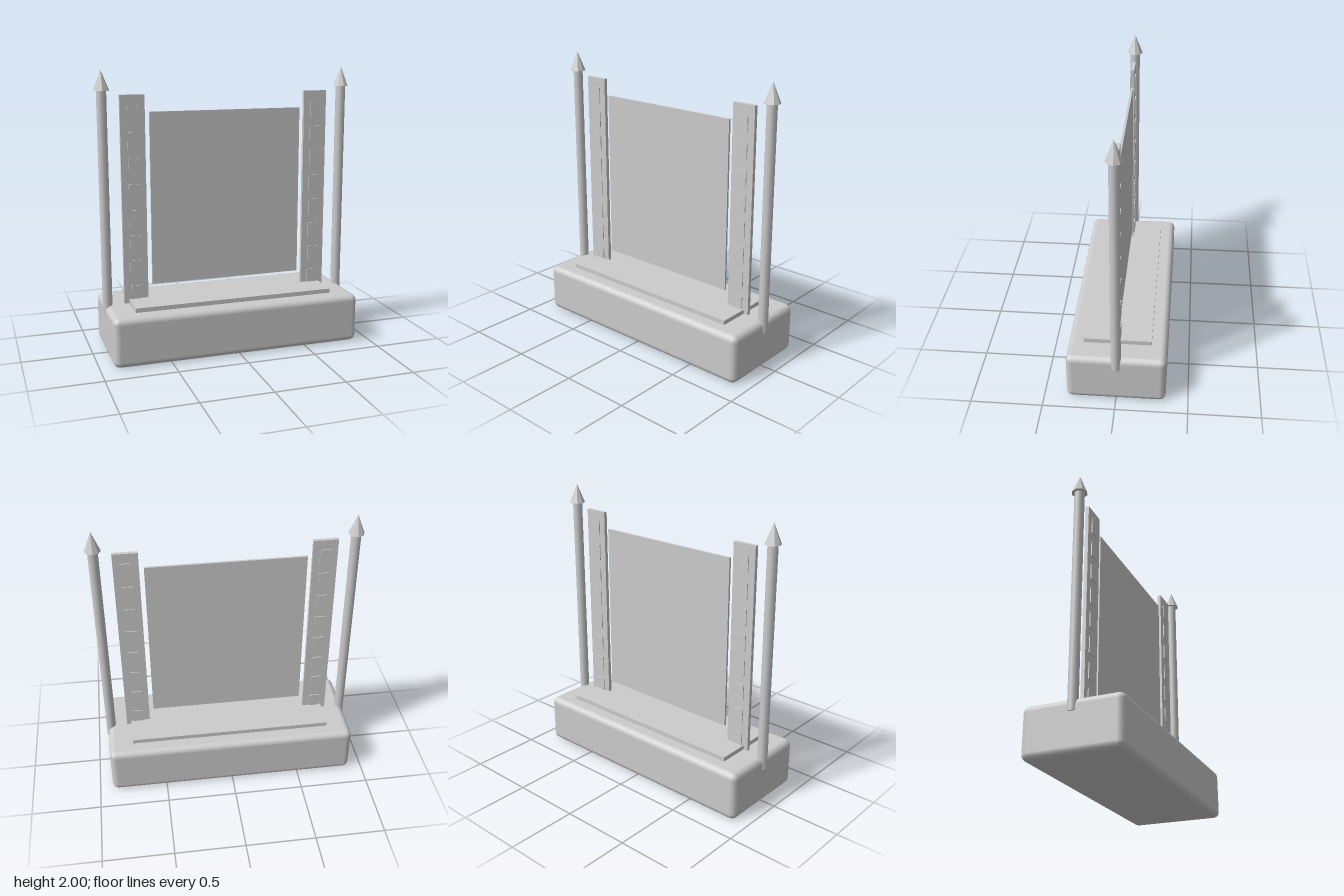
import * as THREE from 'three';
import { RoundedBoxGeometry } from 'three/addons/geometries/RoundedBoxGeometry.js';

export function createModel() {
  const model = new THREE.Group();
  model.name = 'signStand';

  const grey = new THREE.MeshStandardMaterial({ color: 0xcccccc });
  grey.name = 'plain grey';

  const add = (parent, name, geometry, x, y, z = 0) => {
    const mesh = new THREE.Mesh(geometry, grey);
    mesh.name = name;
    mesh.position.set(x, y, z);
    parent.add(mesh);
    return mesh;
  };

  // Heavy base with softened edges, and the thin plinth on top of it
  add(model, 'base', new RoundedBoxGeometry(1.81, 0.355, 0.69, 2, 0.045), 0, 0.1775);
  add(model, 'plinth', new THREE.BoxGeometry(1.46, 0.04, 0.47), 0, 0.366);

  // Large floating panel
  add(model, 'panel', new THREE.BoxGeometry(1.115, 1.23, 0.016), 0, 1.095);

  // Faceted spear tip, shared by both poles
  const tip = new THREE.ConeGeometry(0.056, 0.14, 8).toNonIndexed();
  tip.computeVertexNormals();

  for (const [side, s] of [['left', 1], ['right', -1]]) {
    // Upright banner with raised tiles showing on both faces
    const banner = new THREE.Group();
    banner.name = side + 'Banner';
    model.add(banner);
    add(banner, side + 'Strip', new THREE.BoxGeometry(0.174, 1.475, 0.026), s * 0.677, 1.0925);
    for (let i = 0; i < 8; i++) {
      add(banner, side + 'Tile' + (i + 1), new THREE.BoxGeometry(0.075, 0.115, 0.04),
        s * 0.677, 1.7 - i * 0.182);
    }

    // Pole with its pointed tip
    const pole = new THREE.Group();
    pole.name = side + 'Pole';
    model.add(pole);
    add(pole, side + 'Shaft', new THREE.CylinderGeometry(0.035, 0.035, 1.59, 12), s * 0.884, 1.065);
    add(pole, side + 'Tip', tip, s * 0.884, 1.93);
  }
  return model;
}
